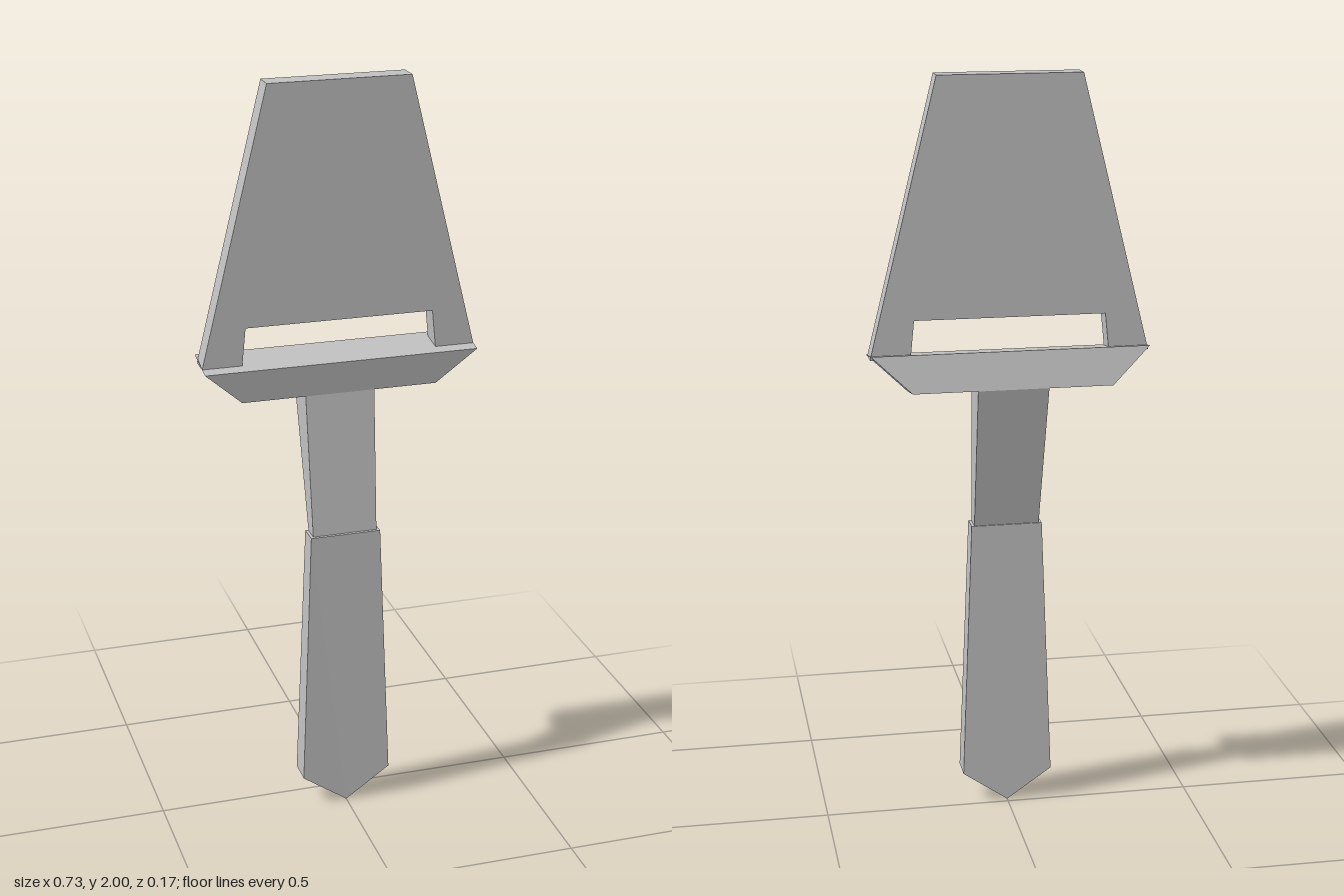
import * as THREE from 'three';

// Solid between two matching rings of points; each ring runs counterclockwise seen from the far side.
function loft(near, far) {
  const n = near.length;
  const pos = [];
  const tri = (a, b, c) => pos.push(...a, ...b, ...c);
  for (let i = 0; i < n; i++) {
    const j = (i + 1) % n;
    tri(near[i], near[j], far[j]);
    tri(near[i], far[j], far[i]);
  }
  for (let i = 1; i < n - 1; i++) {
    tri(far[0], far[i], far[i + 1]);
    tri(near[0], near[i + 1], near[i]);
  }
  const geometry = new THREE.BufferGeometry();
  geometry.setAttribute('position', new THREE.Float32BufferAttribute(pos, 3));
  geometry.computeVertexNormals();
  return geometry;
}

// Four-cornered ring with half-width w, given the (y, z) of its front and back edges.
const ring = (w, [yf, zf], [yb, zb]) => [
  [-w, yf, zf], [w, yf, zf], [w, yb, zb], [-w, yb, zb],
];

export function createModel() {
  const group = new THREE.Group();
  const steel = new THREE.MeshStandardMaterial({ color: 0xc0c0c0 });
  steel.name = 'steelGrey';

  const add = (name, geometry) => {
    const mesh = new THREE.Mesh(geometry, steel);
    mesh.name = name;
    group.add(mesh);
    return mesh;
  };

  // Tapered slicing plate with a slot open towards the crossbar
  const outline = new THREE.Shape([
    [-0.365, 1.28], [-0.26, 1.28], [-0.25, 1.38], [0.25, 1.38],
    [0.26, 1.28], [0.365, 1.28], [0.187, 2], [-0.187, 2],
  ].map(([x, y]) => new THREE.Vector2(x, y)));
  const plate = add('slicingPlate', new THREE.ExtrudeGeometry(outline, { depth: 0.058, bevelEnabled: false }));
  plate.position.z = -0.034;

  // Tilted crossbar, narrower along its lower face
  add('crossbar', loft(
    ring(0.262, [1.18, 0.025], [1.2, -0.086]),
    ring(0.365, [1.275, 0.055], [1.295, -0.056]),
  ));

  // Neck bending forward from the crossbar to the handle
  add('neck', loft(
    ring(0.087, [0.79, 0.07], [0.79, 0.026]),
    ring(0.093, [1.18, 0.025], [1.2, -0.085]),
  ));

  // Handle flaring towards a pointed end
  const face = (zTop, zEnd) => [
    [0, 0, zEnd], [0.122, 0.085, zEnd], [0.095, 0.8, zTop], [-0.095, 0.8, zTop], [-0.122, 0.085, zEnd],
  ];
  add('handle', loft(face(0.02, 0.014), face(0.077, 0.085)));

  return group;
}
